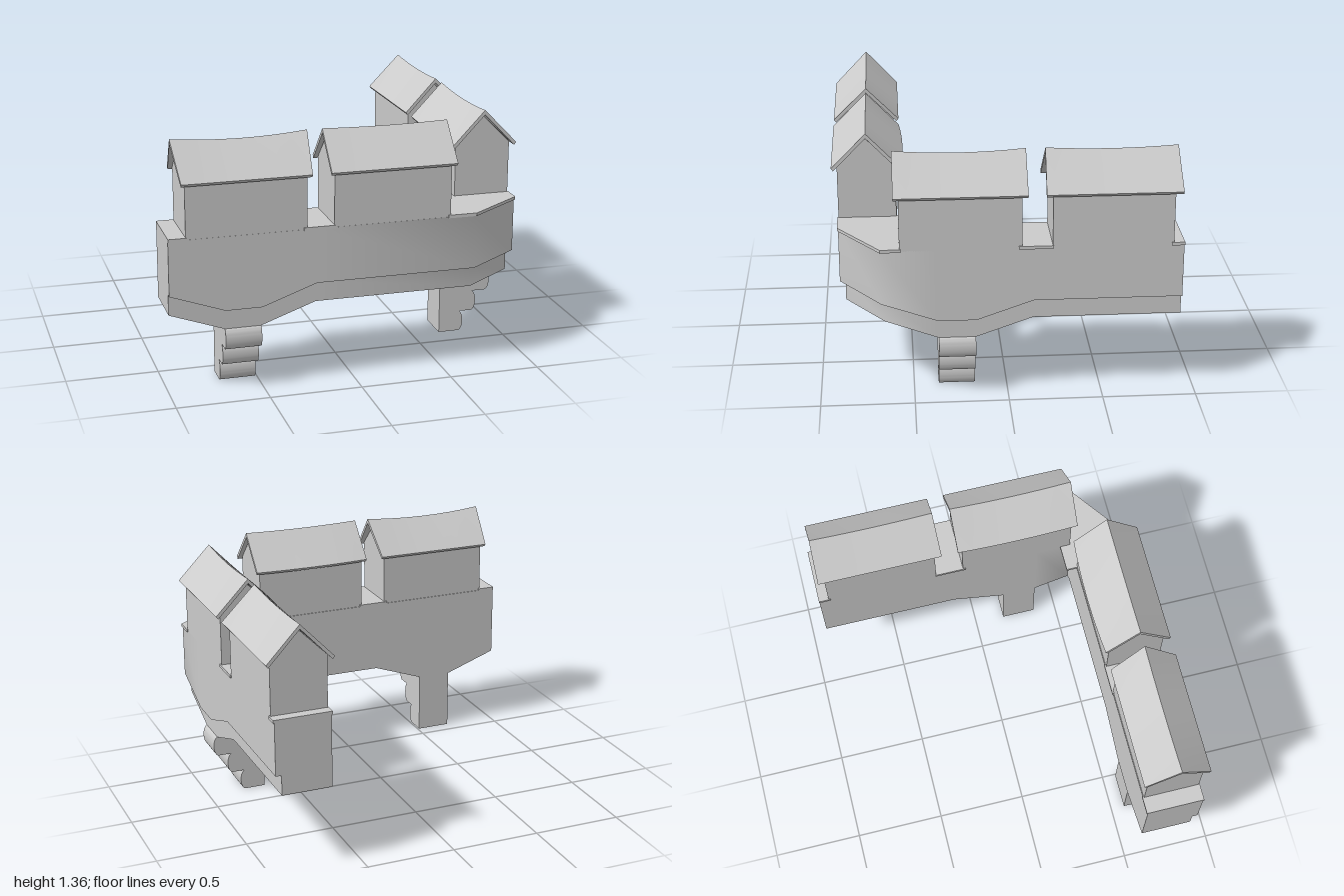
import * as THREE from 'three';
import { toCreasedNormals } from 'three/addons/utils/BufferGeometryUtils.js';

const material = new THREE.MeshStandardMaterial({ color: 0xcccccc });

function mesh(name, geometry) {
  const m = new THREE.Mesh(geometry, material);
  m.name = name;
  return m;
}

// Skin a row of equal-length rings of [x, y, z] points and close both ends
function loft(rings, crease = 0.6) {
  const pos = [];
  const tri = (...pts) => pts.forEach((p) => pos.push(...p));
  const n = rings[0].length;
  for (let i = 0; i < rings.length - 1; i++) {
    const a = rings[i], b = rings[i + 1];
    for (let j = 0; j < n; j++) {
      const k = (j + 1) % n;
      tri(a[j], b[j], a[k]);
      tri(b[j], b[k], a[k]);
    }
  }
  const first = rings[0], last = rings[rings.length - 1];
  for (let j = 1; j < n - 1; j++) {
    tri(first[0], first[j], first[j + 1]);
    tri(last[0], last[j + 1], last[j]);
  }
  const g = new THREE.BufferGeometry();
  g.setAttribute('position', new THREE.Float32BufferAttribute(pos, 3));
  return toCreasedNormals(g, crease);
}

// L-shaped wall; each station: outer xz, recessed outer xz, inner xz, outer dip, inner dip
function wall() {
  const stations = [];
  const alongX = (x, d) => stations.push([[x, 0.885], [x, 0.855], [x, 0.57], d, d]);
  const alongZ = (z, d) => stations.push([[0.967, z], [0.935, z], [0.658, z], d, d]);
  alongX(-1, 0);
  alongX(-0.705, 0.105);
  alongX(-0.51, 0.105);
  alongX(-0.215, 0);
  stations.push([[0.66, 0.885], [0.65, 0.855], [0.63, 0.57], 0, 0]);
  stations.push([[0.967, 0.665], [0.935, 0.65], [0.658, 0.57], 0, 0.033]);
  alongZ(0.37, 0.105);
  alongZ(0.17, 0.105);
  alongZ(-0.13, 0);
  alongZ(-0.91, 0);
  const rings = stations.map(([o, r, i, d, di]) => [
    [i[0], 0.865, i[1]],
    [i[0], 0.455 - di, i[1]],
    [r[0], 0.455 - d, r[1]],
    [r[0], 0.567 - d, r[1]],
    [o[0], 0.567 - d, o[1]],
    [o[0], 0.865, o[1]],
  ]);
  return mesh('wall', loft(rings, 1.0));
}

// Merlon with a sagging gabled roof, length along local x, outer side +z
function merlon({ half, roofHalf, ridgeHalf, sag, bulge }) {
  const group = new THREE.Group();
  group.name = 'merlon';
  const body = [], roof = [];
  const steps = 8;
  for (let i = 0; i <= steps; i++) {
    const t = (i / steps) * 2 - 1;
    const w = 1 - t * t;
    const s = sag * w, b = bulge * w;
    const x = t * half, e = t * roofHalf, r = t * ridgeHalf;
    body.push([
      [x, 0.86, -0.155], [x, 0.86, 0.155],
      [x, 1.165, 0.155], [x, 1.32 - s, 0], [x, 1.165, -0.155],
    ]);
    roof.push([
      [r, 1.33 - s, 0],
      [e, 1.15, 0.174], [e, 1.165, 0.186],
      [r, 1.356 - s, 0],
      [e, 1.165, -0.182 - b], [e, 1.15, -0.17 - b],
    ]);
  }
  group.add(mesh('merlonBody', loft(body)), mesh('merlonRoof', loft(roof)));
  return group;
}

// Stepped corbel with three rounded noses, projecting along local x
function corbel() {
  const shape = new THREE.Shape();
  const h = 0.117;
  shape.moveTo(0, 0);
  [0.115, 0.19, 0.27].forEach((reach, i) => {
    shape.lineTo(reach, i * h);
    shape.absellipse(reach, (i + 0.5) * h, 0.027, h / 2, -Math.PI / 2, Math.PI / 2, false, 0);
  });
  shape.lineTo(0.27, 0.36);
  shape.lineTo(0, 0.36);
  shape.closePath();
  const g = new THREE.ExtrudeGeometry(shape, { depth: 0.195, bevelEnabled: false, curveSegments: 10 });
  g.translate(0, 0, -0.0975);
  return mesh('corbel', toCreasedNormals(g, 0.6));
}

// Thin coping slab between two x and two z limits
function coping(x0, x1, z0, z1) {
  const m = mesh('coping', new THREE.BoxGeometry(x1 - x0, 0.017, z1 - z0));
  m.position.set((x0 + x1) / 2, 0.868, (z0 + z1) / 2);
  return m;
}

function cornerCoping() {
  const outline = [
    [0.507, 0.51], [0.655, 0.51], [0.655, 0.56], [0.974, 0.56],
    [0.974, 0.667], [0.664, 0.89], [0.507, 0.89],
  ];
  const shape = new THREE.Shape(outline.map(([x, z]) => new THREE.Vector2(x, z)));
  const g = new THREE.ExtrudeGeometry(shape, { depth: 0.017, bevelEnabled: false });
  g.rotateX(Math.PI / 2);
  g.translate(0, 0.8765, 0);
  return mesh('cornerCoping', g);
}

export function createModel() {
  const model = new THREE.Group();
  model.name = 'battlementCorner';
  model.add(wall());

  // Merlons of the front arm
  const frontArm = [
    [-0.588, { half: 0.32, roofHalf: 0.342, ridgeHalf: 0.362, sag: 0.02, bulge: 0 }],
    [0.199, { half: 0.32, roofHalf: 0.343, ridgeHalf: 0.343, sag: 0.007, bulge: 0.016 }],
  ];
  for (const [x, spec] of frontArm) {
    const m = merlon(spec);
    m.position.set(x, 0, 0.729);
    model.add(m);
  }

  // Merlons of the side arm
  const sideArm = [
    [0.25, { half: 0.317, roofHalf: 0.345, ridgeHalf: 0.345, sag: 0.016, bulge: 0.008 }],
    [-0.54, { half: 0.315, roofHalf: 0.352, ridgeHalf: 0.345, sag: 0.012, bulge: 0 }],
  ];
  for (const [z, spec] of sideArm) {
    const m = merlon(spec);
    m.rotation.y = Math.PI / 2;
    m.position.set(0.812, 0, z);
    model.add(m);
  }

  // Copings in the gaps and at the arm ends
  model.add(
    coping(-1, -0.9, 0.565, 0.89),
    coping(-0.285, -0.108, 0.565, 0.89),
    cornerCoping(),
    coping(0.653, 0.974, -0.23, -0.05),
    coping(0.653, 0.974, -0.912, -0.843),
  );

  // Corbels under the dips of both arms
  const frontCorbel = corbel();
  frontCorbel.rotation.y = -Math.PI / 2;
  frontCorbel.position.set(-0.6075, 0, 0.578);
  const sideCorbel = corbel();
  sideCorbel.position.set(0.66, 0, 0.27);
  model.add(frontCorbel, sideCorbel);
  return model;
}
